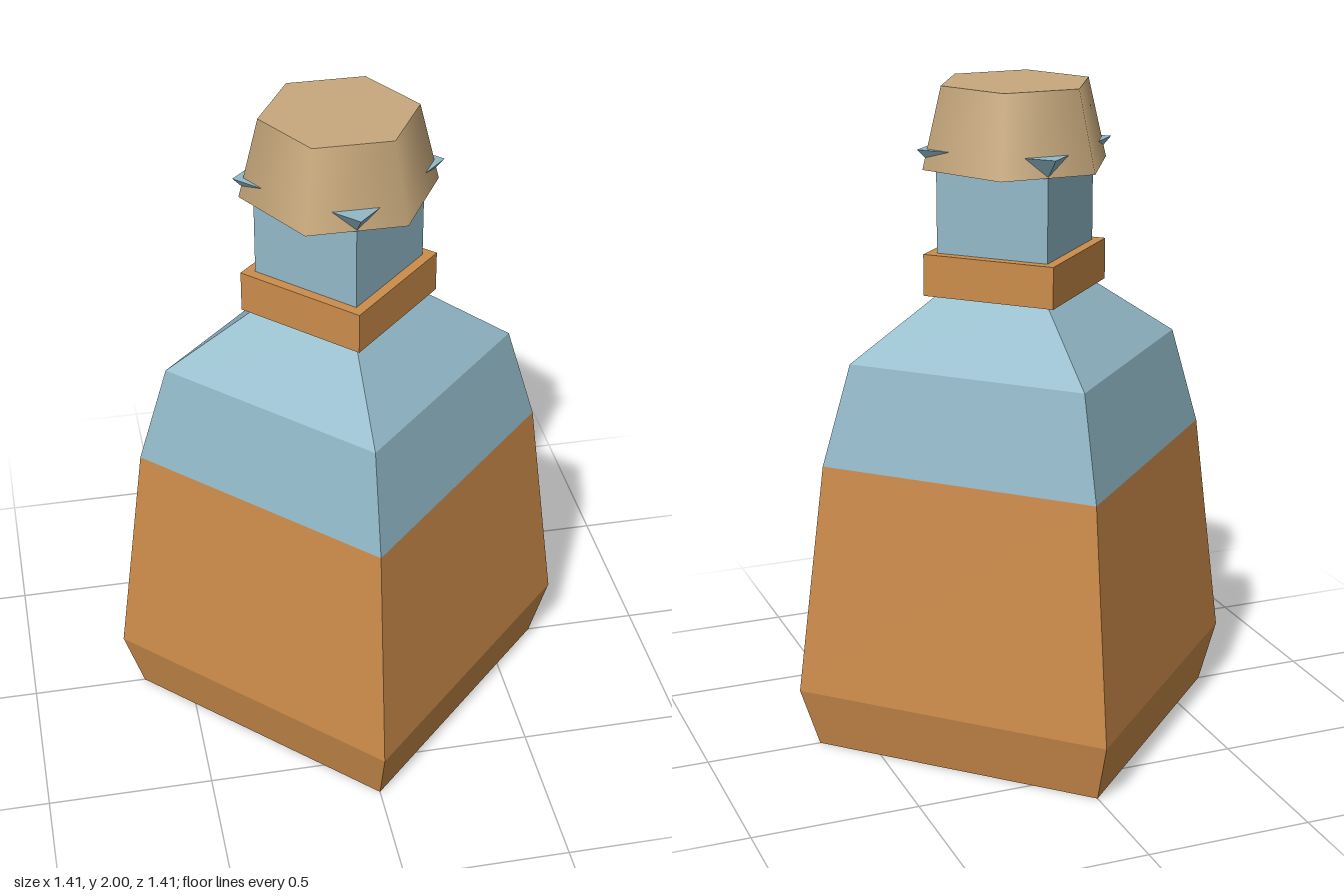
import * as THREE from 'three';
import { mergeGeometries } from 'three/addons/utils/BufferGeometryUtils.js';

const material = (name, color) => {
  const m = new THREE.MeshStandardMaterial({ color });
  m.name = name;
  return m;
};

// Four-sided, flat-faced stack following [radius, y] pairs, corners on the axes
function squareStack(profile) {
  const parts = [];
  for (let i = 0; i < profile.length - 1; i++) {
    const [r0, y0] = profile[i];
    const [r1, y1] = profile[i + 1];
    const g = new THREE.CylinderGeometry(r1, r0, y1 - y0, 4, 1, true).toNonIndexed();
    g.translate(0, (y0 + y1) / 2, 0);
    g.computeVertexNormals();
    parts.push(g);
  }
  return parts;
}

// Flat square cap facing up or down
function squareCap(radius, y, up) {
  const g = new THREE.CircleGeometry(radius, 4).toNonIndexed();
  g.rotateX(up ? -Math.PI / 2 : Math.PI / 2);
  g.translate(0, y, 0);
  return g;
}

export function createModel() {
  const model = new THREE.Group();
  model.name = 'bottle';
  const amber = material('amber', 0xcc8c4b);
  const glass = material('pale blue glass', 0x92b9c8);
  const corkTan = material('cork tan', 0xc8a97c);

  const add = (name, geometry, mat) => {
    const mesh = new THREE.Mesh(geometry, mat);
    mesh.name = name;
    model.add(mesh);
  };

  // Filled lower body with bevelled foot
  add('filledBody', mergeGeometries([
    ...squareStack([[0.647, 0], [0.706, 0.185], [0.614, 0.895]]),
    squareCap(0.647, 0, false),
  ]), amber);

  // Clear upper body, shoulder, neck and flared lip
  add('shoulderAndNeck', mergeGeometries([
    ...squareStack([[0.614, 0.895], [0.523, 1.2], [0.248, 1.385], [0.248, 1.76], [0.306, 1.82]]),
    squareCap(0.306, 1.82, true),
  ]), glass);

  // Square band around the neck
  add('neckBand', mergeGeometries([
    ...squareStack([[0.291, 1.385], [0.291, 1.51]]),
    squareCap(0.291, 1.385, false),
    squareCap(0.291, 1.51, true),
  ]), amber);

  // Tapered six-sided stopper with smooth sides
  const cork = new THREE.CylinderGeometry(0.231, 0.29, 0.24, 6, 1, false, Math.PI / 6);
  cork.translate(0, 1.88, 0);
  add('cork', cork, corkTan);

  return model;
}
